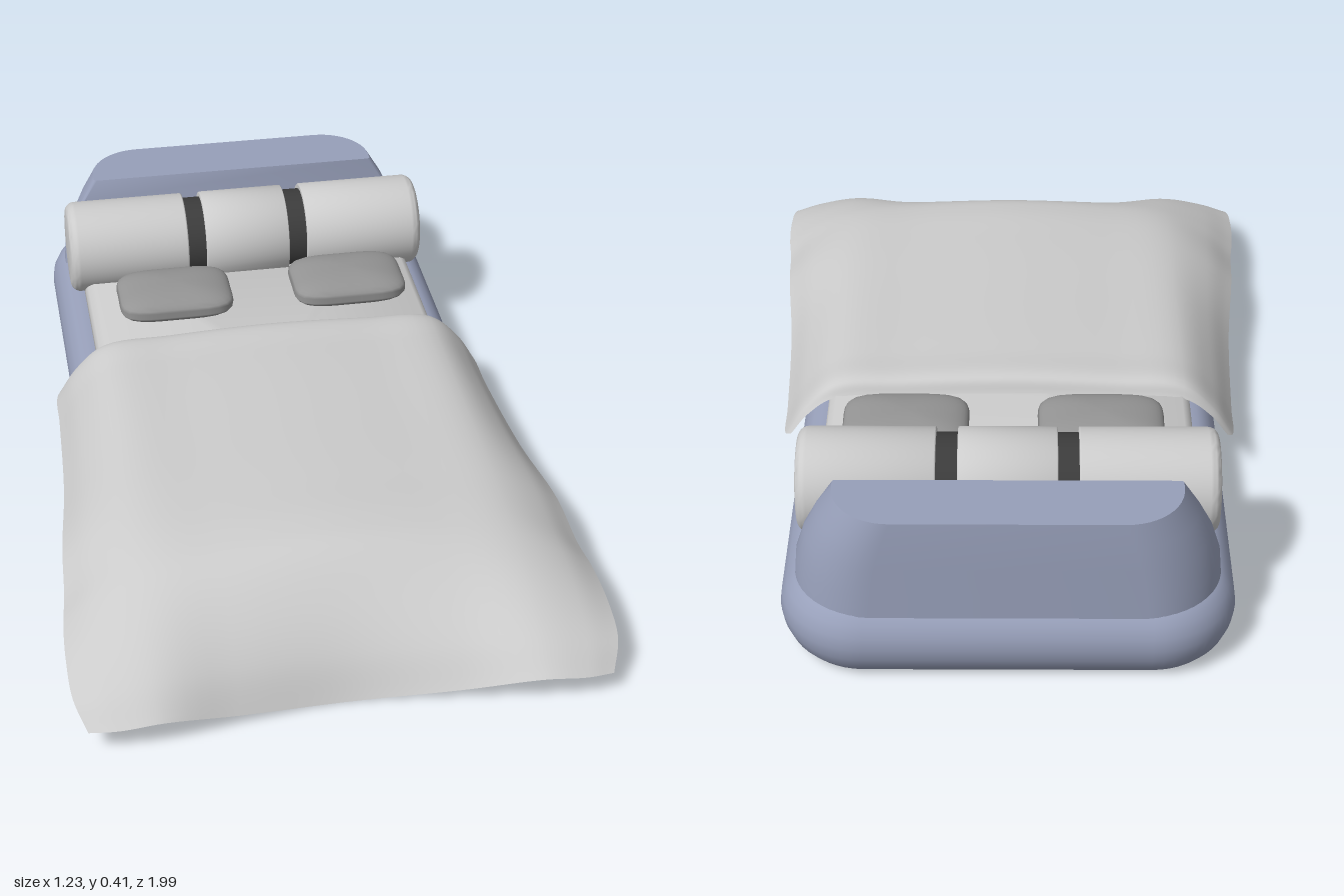
import * as THREE from 'three';
import { toCreasedNormals } from 'three/addons/utils/BufferGeometryUtils.js';

const mat = (color, side = THREE.FrontSide) => new THREE.MeshStandardMaterial({ color, side });
const GREY = mat(0xcccccc), BLUE = mat(0x979fb9), PILLOW = mat(0x949494), DARK = mat(0x3c3c3c);
const CLOTH = mat(0xcccccc, THREE.DoubleSide);

function add(parent, name, geometry, material) {
  const mesh = new THREE.Mesh(geometry, material);
  mesh.name = name;
  parent.add(mesh);
  return mesh;
}

// Rounded-rectangle outline at height y, counterclockwise from above
function ring(y, hx, zBack, zFront, rBack, rFront, seg = 12) {
  const pts = [];
  for (let k = 0; k < 4; k++) {
    const r = k < 2 ? rBack : rFront;
    const cx = (k === 0 || k === 3 ? 1 : -1) * (hx - r);
    const cz = k < 2 ? zBack + r : zFront - r;
    for (let i = 0; i <= seg; i++) {
      const a = (k + i / seg) * Math.PI / 2;
      pts.push([cx + r * Math.cos(a), y, cz - r * Math.sin(a)]);
    }
  }
  return pts;
}

// Skin a stack of rings, closed at both ends
function loft(rings) {
  const n = rings[0].length, last = (rings.length - 1) * n, idx = [];
  const pos = rings.flat(2);
  for (const r of [rings[0], rings[rings.length - 1]]) {
    pos.push(0, r[0][1], (r[0][2] + r[n - 1][2]) / 2);
  }
  const bottom = last + n, top = bottom + 1;
  for (let j = 0; j < n; j++) {
    const k = (j + 1) % n;
    for (let i = 0; i < last; i += n) idx.push(i + j, i + k, i + n + k, i + j, i + n + k, i + n + j);
    idx.push(bottom, k, j, top, last + j, last + k);
  }
  const g = new THREE.BufferGeometry();
  g.setAttribute('position', new THREE.Float32BufferAttribute(pos, 3));
  g.setIndex(idx);
  return toCreasedNormals(g, 0.7);
}

// One padded section of the bolster along x, with rounded ends r0 and r1
function rollSection(x0, x1, radius, r0, r1) {
  const pts = [new THREE.Vector2(0, x0)];
  for (let i = 0; i <= 6; i++) {
    const a = i / 6 * Math.PI / 2;
    pts.push(new THREE.Vector2(radius - r0 + r0 * Math.sin(a), x0 + r0 - r0 * Math.cos(a)));
  }
  for (let i = 0; i <= 6; i++) {
    const a = i / 6 * Math.PI / 2;
    pts.push(new THREE.Vector2(radius - r1 + r1 * Math.cos(a), x1 - r1 + r1 * Math.sin(a)));
  }
  pts.push(new THREE.Vector2(0, x1));
  return toCreasedNormals(new THREE.LatheGeometry(pts, 48).rotateZ(-Math.PI / 2), 0.7);
}

// Squared-off cushion with slightly pinched sides
function pillowGeometry(hx, hy, hz) {
  const g = new THREE.SphereGeometry(1, 40, 24);
  const p = g.attributes.position;
  for (let i = 0; i < p.count; i++) {
    const x = p.getX(i), y = p.getY(i), z = p.getZ(i);
    const a = Math.atan2(z, x);
    const f = Math.pow(Math.cos(a) ** 4 + Math.sin(a) ** 4, -0.25);
    const sx = x * f, sz = z * f;
    p.setXYZ(i,
      hx * sx * (1 - 0.05 * (1 - sz * sz)),
      hy * Math.sign(y) * Math.pow(Math.abs(y), 0.85),
      hz * sz * (1 - 0.04 * (1 - sx * sx)));
  }
  return toCreasedNormals(g, 1.2);
}

// Draped cover: spline surface through a few cross-sections
function blanketGeometry() {
  // centre z, top y, shoulder y, hem x, hem y, forward lead of the corners
  const rows = [
    [-0.235, 0.25, 0.235, 0.53, 0.13, 0],
    [-0.215, 0.283, 0.262, 0.545, 0.118, 0],
    [-0.1, 0.287, 0.265, 0.55, 0.115, 0],
    [0.2, 0.287, 0.265, 0.565, 0.13, 0],
    [0.45, 0.286, 0.262, 0.59, 0.15, 0],
    [0.6, 0.282, 0.25, 0.6, 0.132, 0],
    [0.68, 0.265, 0.232, 0.61, 0.13, 0.01],
    [0.78, 0.19, 0.192, 0.615, 0.122, 0.03],
    [0.86, 0.1, 0.135, 0.61, 0.1, 0.06],
    [0.91, 0.005, 0.078, 0.585, 0.06, 0.08],
  ];
  const section = ([z, top, shoulder, hemX, hemY, lead]) => {
    const half = [
      [0.25, top + (shoulder - top) * 0.4, z + lead * 0.45],
      [0.42, shoulder, z + lead],
      [0.42 + (hemX - 0.42) * 0.6, shoulder * 0.55 + hemY * 0.45, z + lead],
      [hemX, hemY, z + lead * 0.8],
    ];
    return [...half.map(([x, y, w]) => [-x, y, w]).reverse(), [0, top, z], ...half]
      .map(v => new THREE.Vector3(...v));
  };
  const sections = rows.map(section);
  const columns = sections[0].map((_, j) => new THREE.CatmullRomCurve3(sections.map(s => s[j])));
  const nu = 48, nv = 63, pos = [], idx = [];
  for (let i = 0; i <= nv; i++) {
    const across = new THREE.CatmullRomCurve3(columns.map(c => c.getPoint(i / nv)));
    for (let j = 0; j <= nu; j++) {
      pos.push(...across.getPoint(j / nu).toArray());
      if (i < nv && j < nu) {
        const a = i * (nu + 1) + j, c = a + nu + 1;
        idx.push(a, c, a + 1, a + 1, c, c + 1);
      }
    }
  }
  const g = new THREE.BufferGeometry();
  g.setAttribute('position', new THREE.Float32BufferAttribute(pos, 3));
  g.setIndex(idx);
  g.computeVertexNormals();
  return g;
}

export function createModel() {
  const bed = new THREE.Group();
  bed.name = 'bed';

  // Padded base: inset and height up the side
  const baseProfile = [[0.035, 0.015], [0.018, 0.035], [0.005, 0.065], [0, 0.095], [0.004, 0.125],
    [0.016, 0.15], [0.032, 0.168], [0.05, 0.178], [0.07, 0.18]];
  add(bed, 'base', loft(baseProfile.map(([d, y]) =>
    ring(y, 0.505 - d, -1 + d, 0.78 - d, 0.19 - d, 0.19 - d))), BLUE);

  // Headboard leaning inwards towards its top
  const boardProfile = [[0.15, 0.472, -0.972, -0.772, 0.17], [0.22, 0.466, -0.968, -0.778, 0.17],
    [0.29, 0.445, -0.965, -0.786, 0.16], [0.35, 0.415, -0.962, -0.793, 0.145], [0.407, 0.38, -0.957, -0.8, 0.13]];
  add(bed, 'headboard', loft(boardProfile.map(([y, hx, z0, z1, r]) => ring(y, hx, z0, z1, r, 0.008))), BLUE);

  // Mattress
  const mattressProfile = [[0.01, 0.17], [0, 0.185], [0, 0.215], [0.006, 0.23], [0.02, 0.24]];
  add(bed, 'mattress', loft(mattressProfile.map(([d, y]) =>
    ring(y, 0.435 - d, -0.77 + d, 0.66 - d, 0.08 - d, 0.12 - d))), GREY);

  // Bolster: three sections joined by two dark bands
  const bolster = new THREE.Group();
  bolster.name = 'bolster';
  bolster.position.set(0, 0.298, -0.648);
  bed.add(bolster);
  add(bolster, 'bolsterRight', rollSection(-0.47, -0.157, 0.119, 0.025, 0.004), GREY);
  add(bolster, 'bolsterMiddle', rollSection(-0.11, 0.112, 0.119, 0.004, 0.004), GREY);
  add(bolster, 'bolsterLeft', rollSection(0.16, 0.47, 0.119, 0.004, 0.025), GREY);
  for (const x of [-0.1335, 0.136]) {
    const band = add(bolster, 'bolsterBand', new THREE.CylinderGeometry(0.106, 0.106, 0.06, 48).rotateZ(Math.PI / 2), DARK);
    band.position.x = x;
  }

  // Pillows
  for (const [name, x] of [['pillowRight', -0.215], ['pillowLeft', 0.24]]) {
    add(bed, name, pillowGeometry(0.155, 0.042, 0.108), PILLOW).position.set(x, 0.278, -0.403);
  }

  add(bed, 'blanket', blanketGeometry(), CLOTH);
  return bed;
}
